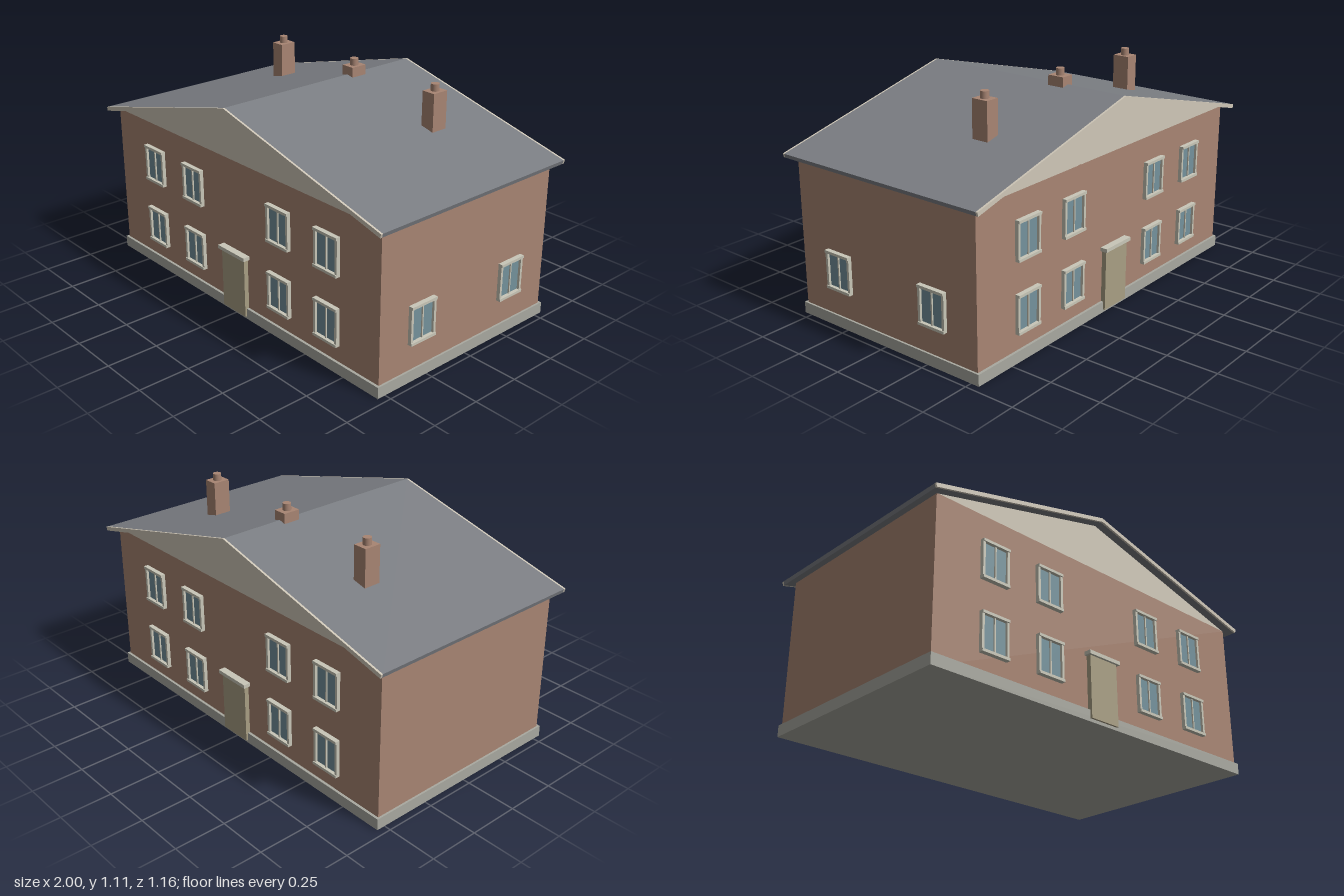
import * as THREE from 'three';

const mat = (color) => new THREE.MeshStandardMaterial({ color });
const brick = mat(0xa88573), cream = mat(0xcfc7b8), trim = mat(0xc9c7b8), slate = mat(0x7b7e83);
const stone = mat(0xa9a9a0), glass = mat(0x74929c), doorPaint = mat(0xa99f84);

const WALL_X = 0.956, WALL_Z = 0.53, EAVES = 0.778;
const RIDGE = 1.04, SLOPE = 0.253;

function add(parent, name, geometry, material, x = 0, y = 0, z = 0) {
  const mesh = new THREE.Mesh(geometry, material);
  mesh.name = name;
  mesh.position.set(x, y, z);
  parent.add(mesh);
  return mesh;
}

function box(parent, name, material, w, h, d, x, y, z) {
  return add(parent, name, new THREE.BoxGeometry(w, h, d), material, x, y, z);
}

// Extrude an outline in x/y, centred on z
function prism(points, depth) {
  const shape = new THREE.Shape(points.map(([x, y]) => new THREE.Vector2(x, y)));
  return new THREE.ExtrudeGeometry(shape, { depth, bevelEnabled: false }).translate(0, 0, -depth / 2);
}

// Window facing +z, with its back on z = 0
function createWindow(x, y) {
  const W = 0.15, H = 0.186, T = 0.013;
  const win = new THREE.Group();
  win.name = 'window';
  win.position.set(x, y, 0);
  box(win, 'glass', glass, W - T, H - T, 0.008, 0, 0, 0.002);
  for (const s of [-1, 1]) {
    box(win, 'frameSide', trim, T, H - 2 * T, 0.022, s * (W - T) / 2, 0, 0.007);
    box(win, s > 0 ? 'lintel' : 'sill', trim, W, T, 0.027, 0, s * (H - T) / 2, 0.0095);
  }
  box(win, 'mullion', trim, 0.007, H - 2 * T, 0.016, 0, 0, 0.005);
  return win;
}

// Long facade: eight windows and a door with a canopy
function createFacade(name) {
  const facade = new THREE.Group();
  facade.name = name;
  for (const x of [-0.638, -0.319, 0.319, 0.638])
    for (const y of [0.227, 0.563]) facade.add(createWindow(x, y));
  box(facade, 'door', doorPaint, 0.168, 0.298, 0.03, 0, 0.164, 0.008);
  box(facade, 'doorCanopy', trim, 0.194, 0.018, 0.045, 0, 0.322, 0.0125);
  return facade;
}

export function createModel() {
  const house = new THREE.Group();
  house.name = 'house';

  // Walls and plinth
  box(house, 'walls', brick, 2 * WALL_X, EAVES, 2 * WALL_Z, 0, EAVES / 2 + 0.002, 0);
  box(house, 'plinth', stone, 1.932, 0.055, 1.086, 0, 0.0275, 0);

  // Rendered gables under the roof
  add(house, 'gables', prism([[-WALL_X, EAVES], [WALL_X, EAVES], [0, RIDGE - 0.019]], 2 * WALL_Z), cream);

  // Roof slab and barge boards share one folded outline
  const roofEdge = RIDGE - SLOPE;
  const outline = [[-1, roofEdge], [-0.995, roofEdge - 0.019], [0, RIDGE - 0.02],
    [0.995, roofEdge - 0.019], [1, roofEdge], [0, RIDGE]];
  add(house, 'roof', prism(outline, 1.14), slate);
  for (const s of [-1, 1])
    add(house, 'bargeBoard', prism(outline, 0.01), cream, 0, 0, s * 0.575);

  // Chimneys, sunk into the roof
  for (const x of [-0.53, 0, 0.53]) {
    const bottom = RIDGE - SLOPE * (Math.abs(x) + 0.035) - 0.005;
    const chimney = new THREE.Group();
    chimney.name = 'chimney';
    chimney.position.set(x, 0, -0.212);
    box(chimney, 'stack', brick, 0.07, 1.08 - bottom, 0.086, 0, (1.08 + bottom) / 2, 0);
    add(chimney, 'pot', new THREE.CylinderGeometry(0.02, 0.02, 0.035, 24), brick, 0, 1.0965, 0);
    house.add(chimney);
  }

  // Front and back facades
  const front = createFacade('frontFacade');
  front.position.z = WALL_Z;
  const back = createFacade('backFacade');
  back.position.z = -WALL_Z;
  back.rotation.y = Math.PI;
  house.add(front, back);

  // Windows on the +x end wall only
  const side = new THREE.Group();
  side.name = 'sideWindows';
  side.position.x = WALL_X;
  side.rotation.y = Math.PI / 2;
  for (const x of [-0.287, 0.287]) side.add(createWindow(x, 0.278));
  house.add(side);

  return house;
}
